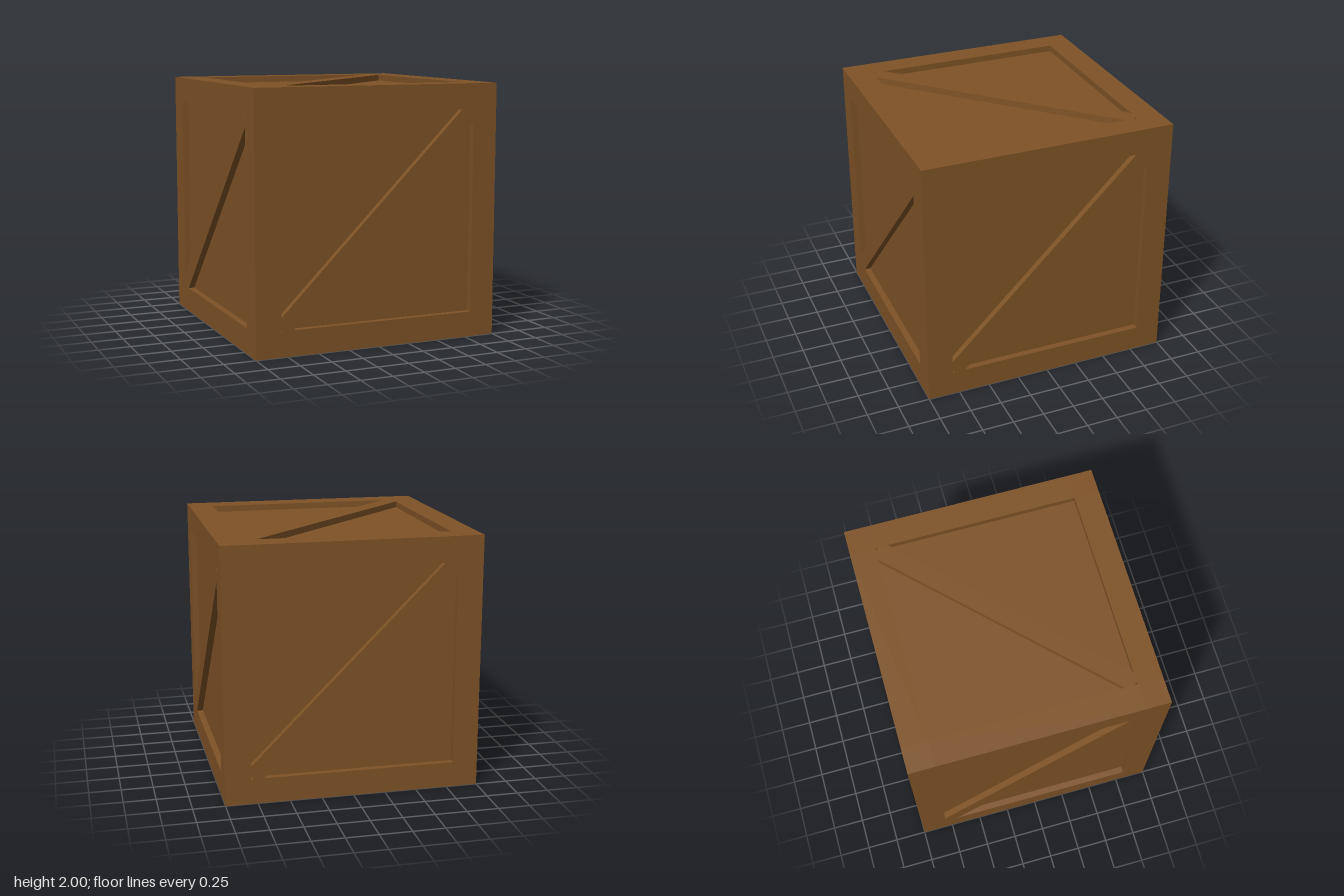
import * as THREE from 'three';

const SIZE = 2, BEAM = 0.2, DEPTH = 0.05;
const INNER = SIZE / 2 - BEAM; // half width of each recessed panel

export function createModel() {
  const wood = new THREE.MeshStandardMaterial({ color: 0x7e5226 });
  wood.name = 'brown wood';

  const crate = new THREE.Group();
  crate.name = 'crate';
  const add = (geometry, name) => {
    const mesh = new THREE.Mesh(geometry, wood);
    mesh.name = name;
    crate.add(mesh);
    return mesh;
  };

  // Solid core whose faces are the recessed panels
  const core = SIZE - 2 * DEPTH;
  add(new THREE.BoxGeometry(core, core, core), 'panels').position.y = 1;

  // Twelve square beams along the edges, posts full height
  const c = SIZE / 2 - BEAM / 2;
  const post = new THREE.BoxGeometry(BEAM, SIZE, BEAM);
  const railX = new THREE.BoxGeometry(2 * INNER, BEAM, BEAM);
  const railZ = new THREE.BoxGeometry(BEAM, BEAM, 2 * INNER);
  for (const a of [-c, c]) {
    for (const b of [-c, c]) {
      add(post, 'cornerPost').position.set(a, 1, b);
      add(railX, 'crossRail').position.set(0, 1 + a, b);
      add(railZ, 'sideRail').position.set(a, 1 + b, 0);
    }
  }

  // Diagonal brace, lower left to upper right, with slightly clipped ends
  const w = 0.1, clip = 0.02, e = INNER;
  const outline = new THREE.Shape([
    [-e, -e + clip], [-e + clip, -e], [-e + w, -e], [e, e - w],
    [e, e - clip], [e - clip, e], [e - w, e], [-e, -e + w],
  ].map(([x, y]) => new THREE.Vector2(x, y)));
  const brace = new THREE.ExtrudeGeometry(outline, { depth: DEPTH, bevelEnabled: false });
  brace.translate(0, 0, SIZE / 2 - DEPTH);

  // One brace on every face: [turn about x, turn about y, spin in the panel]
  const q = Math.PI / 2;
  const faces = {
    front: [0, 0, 0], left: [0, q, 0], back: [0, 2 * q, 0], right: [0, -q, 0],
    top: [-q, 0, 0], bottom: [q, 0, q],
  };
  for (const [name, turn] of Object.entries(faces)) {
    const mesh = add(brace, name + 'Brace');
    mesh.rotation.set(...turn);
    mesh.position.y = 1;
  }

  return crate;
}
